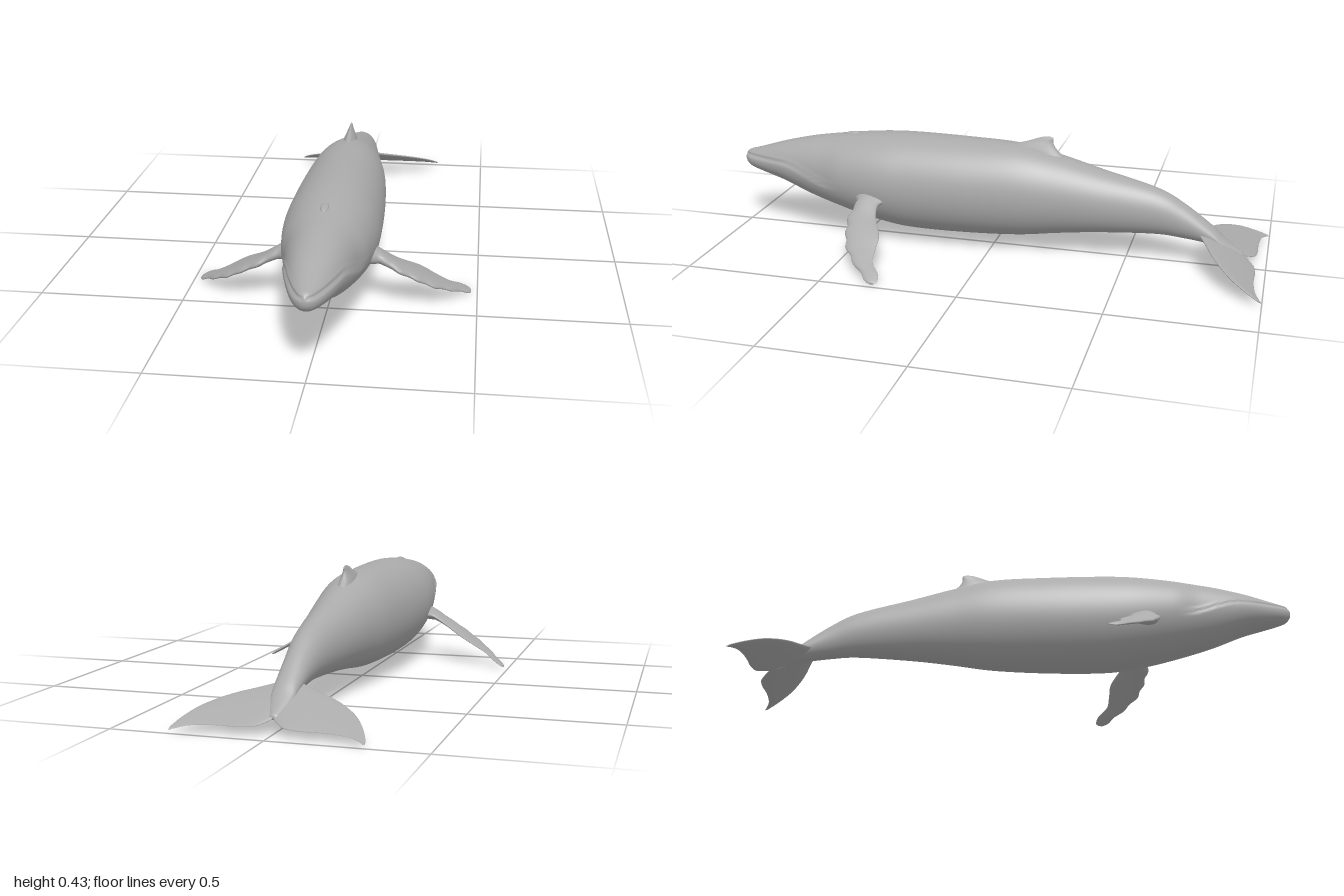
import * as THREE from 'three';

const { smoothstep, lerp } = THREE.MathUtils;

// Smooth sampler over rows [a, b, c, d, e]; returns rows at even steps.
function sample(rows, count) {
  const head = new THREE.CatmullRomCurve3(rows.map(r => new THREE.Vector3(r[0], r[1], r[2])), false, 'catmullrom', 0.5);
  const rest = new THREE.CatmullRomCurve3(rows.map(r => new THREE.Vector3(r[3] ?? 0, r[4] ?? 0, 0)), false, 'catmullrom', 0.5);
  return Array.from({ length: count + 1 }, (_, i) => {
    const p = head.getPoint(i / count), q = rest.getPoint(i / count);
    return [p.x, p.y, p.z, q.x, q.y];
  });
}

// Skin closed rings of points, with a fan at each end; flip for mirrored parts.
function loft(rings, flip = false) {
  const n = rings[0].length, pos = [], idx = [];
  const tri = (a, b, c) => (flip ? idx.push(a, c, b) : idx.push(a, b, c));
  rings.forEach(ring => ring.forEach(p => pos.push(...p)));
  for (let k = 0; k < rings.length - 1; k++) {
    for (let j = 0; j < n; j++) {
      const a = k * n + j, b = k * n + (j + 1) % n;
      tri(a, b, a + n);
      tri(b, b + n, a + n);
    }
  }
  [0, rings.length - 1].forEach((k, end) => {
    const c = pos.length / 3;
    pos.push(...[0, 1, 2].map(i => rings[k].reduce((s, p) => s + p[i], 0) / n));
    for (let j = 0; j < n; j++) {
      const a = k * n + j, b = k * n + (j + 1) % n;
      if (end) tri(c, a, b); else tri(c, b, a);
    }
  });
  const g = new THREE.BufferGeometry();
  g.setAttribute('position', new THREE.Float32BufferAttribute(pos, 3));
  g.setIndex(idx);
  g.computeVertexNormals();
  return g;
}

const ring = (n, f) => Array.from({ length: n }, (_, j) => {
  const a = (j / n) * Math.PI * 2;
  return f(Math.cos(a), Math.sin(a));
});

// Body stations from tail to snout: z, top, bottom, half width
const BODY = [
  [-0.92, 0.066, 0.052, 0.012], [-0.85, 0.115, 0.078, 0.036], [-0.8, 0.16, 0.092, 0.042],
  [-0.7, 0.232, 0.104, 0.05], [-0.6, 0.282, 0.11, 0.064], [-0.4, 0.333, 0.097, 0.094],
  [-0.25, 0.373, 0.08, 0.118], [-0.1, 0.405, 0.06, 0.142], [0.1, 0.413, 0.05, 0.158],
  [0.3, 0.415, 0.05, 0.164], [0.42, 0.41, 0.065, 0.162], [0.55, 0.396, 0.095, 0.146],
  [0.7, 0.374, 0.14, 0.118], [0.82, 0.346, 0.187, 0.091], [0.9, 0.322, 0.21, 0.068],
  [0.95, 0.307, 0.224, 0.05], [0.98, 0.299, 0.235, 0.034], [0.995, 0.288, 0.25, 0.018],
  [1.0, 0.276, 0.263, 0.005],
];

function bodyGeometry() {
  return loft(sample(BODY, 144).map(([z, top, bottom, w]) => {
    const cy = (top + bottom) / 2, h = (top - bottom) / 2;
    // mouth line drops toward its corner; the upper jaw is slimmer than the lower
    const mouthY = lerp(0.218, 0.284, smoothstep(z, 0.58, 0.82));
    const mouth = smoothstep(z, 0.56, 0.66);
    return ring(96, (c, s) => {
      const y = cy + s * h;
      const groove = mouth * 0.007 * Math.exp(-(((y - mouthY) / 0.006) ** 2));
      const slim = 1 - 0.07 * mouth * smoothstep(y, mouthY, mouthY + 0.02);
      const x = c * w * slim;
      return [Math.sign(x) * Math.max(0, Math.abs(x) - Math.min(groove, Math.abs(x) * 0.4)), y, z];
    });
  }));
}

// Foil rings along x; rows: x, leading z, trailing z, half thickness, centre y
function foilGeometry(rows, side, steps, edge, height) {
  return loft(sample(rows, steps).map(([x, lead, trail, t, y]) =>
    ring(28, (c, s) => {
      const k = (1 + c) / 2;
      const z = lerp(trail, lead + edge(x), k);
      return [side * x, height(y, z) - s * t * (0.75 + 0.25 * c), z];
    })), side < 0);
}

const FLIPPER = [
  [0.11, 0.505, 0.37, 0.036, 0.2], [0.15, 0.495, 0.38, 0.034, 0.19], [0.18, 0.478, 0.395, 0.027, 0.181],
  [0.23, 0.488, 0.384, 0.02, 0.153], [0.3, 0.474, 0.347, 0.017, 0.115], [0.35, 0.455, 0.342, 0.014, 0.086],
  [0.4, 0.415, 0.336, 0.011, 0.058], [0.44, 0.372, 0.303, 0.009, 0.034], [0.468, 0.34, 0.294, 0.007, 0.017],
  [0.478, 0.322, 0.302, 0.004, 0.011],
];

const FLUKE = [
  [0, -0.75, -0.922, 0.016], [0.025, -0.755, -0.945, 0.016], [0.05, -0.768, -0.96, 0.015],
  [0.1, -0.793, -0.966, 0.013], [0.15, -0.816, -0.965, 0.011], [0.2, -0.846, -0.967, 0.009],
  [0.25, -0.888, -0.974, 0.007], [0.285, -0.938, -0.988, 0.005], [0.305, -0.982, -1.0, 0.003],
];

// Dorsal fin stations: y, front z, back z, half width
const DORSAL = [
  [0.36, 0.0, -0.27, 0.04], [0.39, -0.04, -0.238, 0.03], [0.408, -0.085, -0.225, 0.021],
  [0.422, -0.13, -0.22, 0.013], [0.434, -0.162, -0.221, 0.007], [0.441, -0.185, -0.216, 0.003],
];

export function createModel() {
  const whale = new THREE.Group();
  whale.name = 'whale';
  const skin = new THREE.MeshStandardMaterial({ color: 0xaaaaaa });
  skin.name = 'greySkin';
  const add = (name, geometry) => {
    const mesh = new THREE.Mesh(geometry, skin);
    mesh.name = name;
    whale.add(mesh);
    return mesh;
  };

  add('body', bodyGeometry());

  for (const [label, side] of [['left', 1], ['right', -1]]) {
    // knobbly leading edge on the flippers
    add(label + 'Flipper', foilGeometry(FLIPPER, side, 60, x => 0.004 * Math.sin(x * 110), y => y));
    // flukes lie in a plane sloping down to the rear
    add(label + 'Fluke', foilGeometry(FLUKE, side, 40, () => 0, (y, z) => 0.018 + 0.48 * (z + 1)));
  }

  // hooked dorsal fin
  add('dorsalFin', loft(sample(DORSAL, 24).map(([y, front, back, w]) =>
    ring(28, (c, s) => [s * w * (0.8 - 0.2 * c), y, lerp(back, front, (1 + c) / 2)]))));

  // low ridge around the blowhole
  const ridge = add('blowholeRidge', new THREE.SphereGeometry(1, 20, 12));
  ridge.scale.set(0.014, 0.007, 0.03);
  ridge.position.set(0, 0.395, 0.555);
  ridge.rotation.x = 0.14;

  return whale;
}
